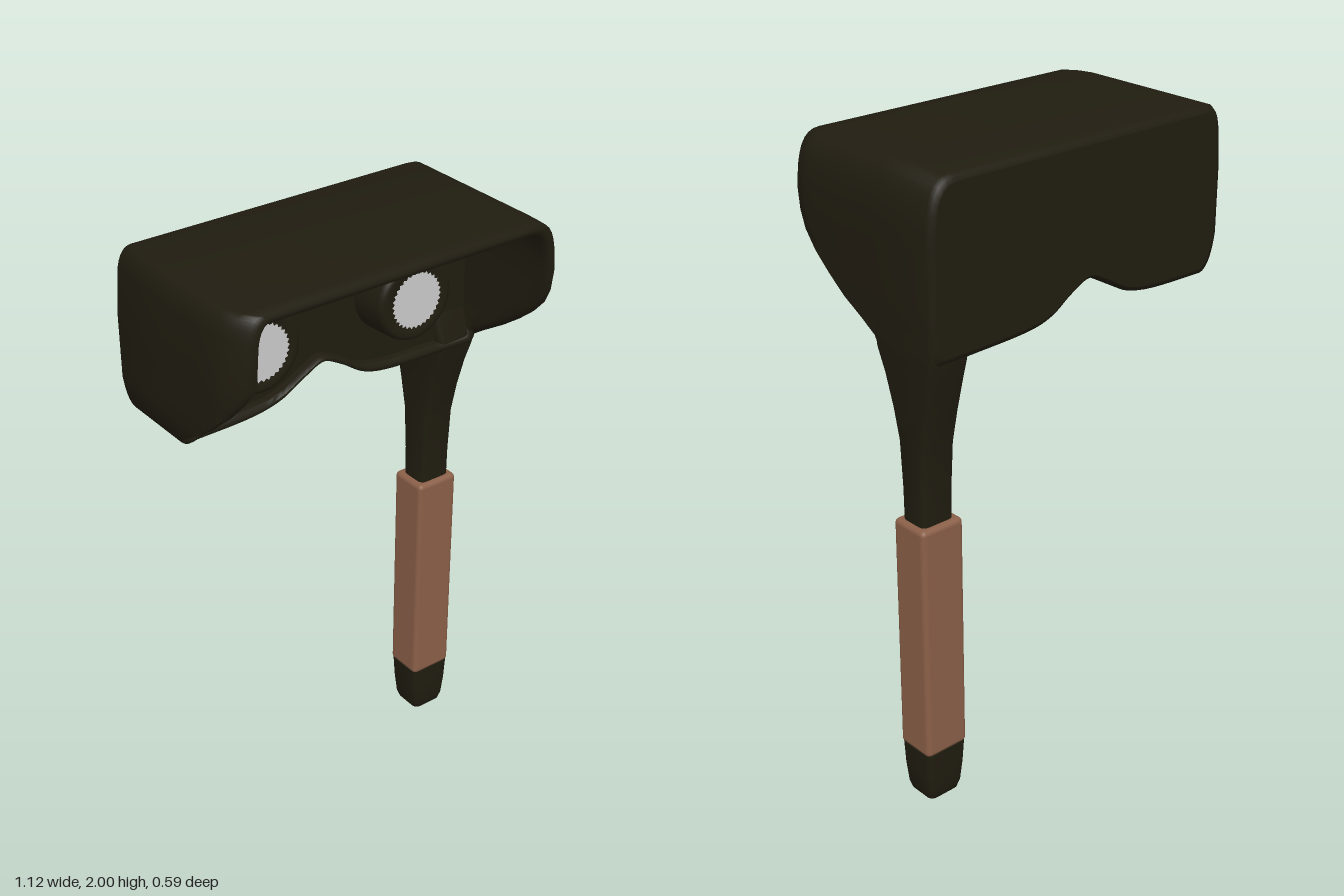
import * as THREE from 'three';
import { toCreasedNormals } from 'three/addons/utils/BufferGeometryUtils.js';
import { RoundedBoxGeometry } from 'three/addons/geometries/RoundedBoxGeometry.js';

const dark = new THREE.MeshStandardMaterial({ color: 0x201c10 });
const brown = new THREE.MeshStandardMaterial({ color: 0x8a5f48 });
const grey = new THREE.MeshStandardMaterial({ color: 0xcccccc });
const V = (x, y, z) => new THREE.Vector3(x, y, z);

function add(parent, name, geometry, material) {
  const mesh = new THREE.Mesh(geometry, material);
  mesh.name = name;
  parent.add(mesh);
  return mesh;
}

// Skin a list of closed loops that all have the same point count
function loft(loops, crease = 0.6) {
  const n = loops[0].length, index = [];
  for (let i = 0; i < loops.length - 1; i++) {
    for (let j = 0; j < n; j++) {
      const k = (j + 1) % n;
      const a = i * n + j, b = i * n + k, c = a + n, d = b + n;
      index.push(a, b, d, a, d, c);
    }
  }
  const g = new THREE.BufferGeometry().setFromPoints(loops.flat());
  g.setIndex(index);
  return toCreasedNormals(g, crease);
}

// Linear lookup in a list of [key, value] with rising keys
function lookup(table, t) {
  if (t <= table[0][0]) return table[0][1];
  for (let i = 1; i < table.length; i++) {
    const [a, u] = table[i - 1], [b, v] = table[i];
    if (t <= b) return u + (v - u) * (t - a) / (b - a);
  }
  return table[table.length - 1][1];
}

// Front outline of the head, with the nose notch in its lower edge
function headOutline() {
  const s = new THREE.Shape();
  s.moveTo(-0.5, 1.48);
  s.splineThru([[-0.3, 1.485], [-0.19, 1.505], [-0.1, 1.555], [-0.03, 1.585], [0.04, 1.555],
    [0.12, 1.505], [0.22, 1.483], [0.42, 1.475]].map(p => new THREE.Vector2(...p)));
  s.lineTo(0.53, 1.475);
  s.quadraticCurveTo(0.55, 1.48, 0.55, 1.53);
  for (const y of [1.58, 1.63, 1.68, 1.73, 1.78]) s.lineTo(0.555, y);
  s.lineTo(0.555, 1.84);
  s.bezierCurveTo(0.55, 1.95, 0.53, 2, 0.47, 2);
  s.lineTo(-0.5, 2);
  s.quadraticCurveTo(-0.54, 2, -0.55, 1.93);
  for (const y of [1.8, 1.75, 1.7, 1.65, 1.6]) s.lineTo(-0.56, y);
  s.quadraticCurveTo(-0.545, 1.49, -0.5, 1.48);
  const pts = s.getPoints(8);
  if (pts[0].distanceTo(pts[pts.length - 1]) < 1e-5) pts.pop();
  return pts;
}

function inset(pts, d) {
  return pts.map(p => new THREE.Vector2(p.x * (1 - d / 0.56), 1.74 + (p.y - 1.74) * (1 - d / 0.26)));
}

function buildHead() {
  const head = new THREE.Group();
  head.name = 'head';
  const outline = headOutline();
  const backZ = -0.295, panelZ = -0.07;

  // Face opening: deep at the brow, cut back towards the cheeks and nose
  const cut = [[1.5, -0.03], [1.54, 0.03], [1.59, 0.11], [1.66, 0.2], [1.72, 0.26], [1.8, 0.298]];
  const rim = outline.map(p => (Math.abs(p.x) < 0.47 && p.y < 1.7 ? -0.035 : lookup(cut, p.y)));

  // Side walls pull in near the front corners
  const ring = (d, zAt) => inset(outline, d).map((p, i) => {
    const z = zAt(rim[i]);
    const t = Math.max(0, (z - 0.2) / 0.1);
    return V(p.x * (1 - (p.x < 0 ? 0.1 : 0.015) * t * t), p.y, z);
  });
  const along = (f, end) => r => backZ + 0.02 + (r - end - backZ - 0.02) * f;
  const fractions = [0, 0.4, 0.7, 0.85, 0.93, 1];
  const loops = [ring(0.02, () => backZ), ring(0.006, () => backZ + 0.006)];
  for (const f of fractions) loops.push(ring(0, along(f, 0.008)));
  loops.push(ring(0.008, r => r), ring(0.02, r => r), ring(0.028, r => r - 0.008));
  for (const f of [0.93, 0.8, 0.5, 0]) loops.push(ring(0.03, r => panelZ + (r - 0.01 - panelZ) * f));
  add(head, 'hood', loft(loops, 0.9), dark);

  // Flat back and the lens panel inside the hood
  const back = new THREE.ShapeGeometry(new THREE.Shape(inset(outline, 0.02)));
  back.scale(-1, 1, 1).rotateY(Math.PI).translate(0, 0, backZ);
  const idx = back.index.array;
  for (let i = 0; i < idx.length; i += 3) [idx[i], idx[i + 1]] = [idx[i + 1], idx[i]];
  back.computeVertexNormals();
  const backMesh = add(head, 'backPanel', back, dark.clone());
  backMesh.material.side = THREE.DoubleSide;
  const panel = new THREE.ShapeGeometry(new THREE.Shape(inset(outline, 0.03)));
  add(head, 'lensPanel', panel, dark).position.z = panelZ;

  // Eyepieces: a round tube with a rolled lip and a finely toothed lens
  for (const x of [-0.3, 0.24]) {
    const eyepiece = new THREE.Group();
    eyepiece.name = x < 0 ? 'rightEyepiece' : 'leftEyepiece';
    eyepiece.position.set(x, 1.74, 0);
    const profile = [[0.135, panelZ], [0.13, 0.03], [0.125, 0.045], [0.115, 0.05], [0.1, 0.048], [0.08, 0.042]];
    const tube = new THREE.LatheGeometry(profile.map(p => new THREE.Vector2(...p)), 40);
    add(eyepiece, 'eyepieceTube', tube.rotateX(Math.PI / 2), dark);
    const teeth = [];
    for (let i = 0; i < 64; i++) {
      const a = i * Math.PI / 32, r = i % 2 ? 0.082 : 0.09;
      teeth.push(new THREE.Vector2(r * Math.cos(a), r * Math.sin(a)));
    }
    add(eyepiece, 'lens', new THREE.ShapeGeometry(new THREE.Shape(teeth)), grey).position.z = 0.051;
    head.add(eyepiece);
  }
  return head;
}

// Rounded rectangular section at height y, spanning x0..x1 and z0..z1
function section([y, x0, x1, z0, z1], r = 0.02) {
  const pts = [];
  for (let q = 0; q < 4; q++) {
    const sx = q === 0 || q === 3 ? 1 : -1, sz = q < 2 ? -1 : 1;
    for (let i = 0; i <= 4; i++) {
      const a = (q + i / 4) * Math.PI / 2;
      const cx = sx > 0 ? x1 - r : x0 + r, cz = sz > 0 ? z1 - r : z0 + r;
      pts.push(V(cx + r * Math.cos(a), y, cz - r * Math.sin(a)));
    }
  }
  return pts;
}

function column(rows) {
  const loops = rows.map(row => section(row));
  const cap = ([y, x0, x1, z0, z1]) => loops[0].map(() => V((x0 + x1) / 2, y, (z0 + z1) / 2));
  return loft([cap(rows[0]), ...loops, cap(rows[rows.length - 1])], 0.8);
}

function buildHandle() {
  const handle = new THREE.Group();
  handle.name = 'handle';

  // Neck flares from the grip into the rear corner of the head
  add(handle, 'neck', column([
    [0.93, 0.422, 0.537, -0.217, -0.12],
    [1.05, 0.422, 0.537, -0.218, -0.118],
    [1.2, 0.422, 0.538, -0.228, -0.11],
    [1.3, 0.42, 0.541, -0.247, -0.09],
    [1.4, 0.418, 0.546, -0.27, -0.064],
    [1.47, 0.414, 0.551, -0.285, -0.04],
    [1.51, 0.41, 0.553, -0.29, -0.035],
    [1.6, 0.41, 0.553, -0.293, -0.075],
    [1.8, 0.42, 0.552, -0.292, -0.08],
  ]), dark);

  const grip = add(handle, 'grip', new RoundedBoxGeometry(0.152, 0.78, 0.134, 3, 0.016), brown);
  grip.position.set(0.479, 0.565, -0.169);

  // Tapered foot below the grip
  add(handle, 'foot', column([
    [0, 0.435, 0.525, -0.213, -0.124],
    [0.006, 0.424, 0.536, -0.221, -0.115],
    [0.03, 0.415, 0.543, -0.226, -0.109],
    [0.1, 0.408, 0.55, -0.231, -0.105],
    [0.179, 0.404, 0.554, -0.235, -0.103],
  ]), dark);
  return handle;
}

export function createModel() {
  const model = new THREE.Group();
  model.name = 'handheldViewer';
  model.add(buildHead(), buildHandle());
  return model;
}
